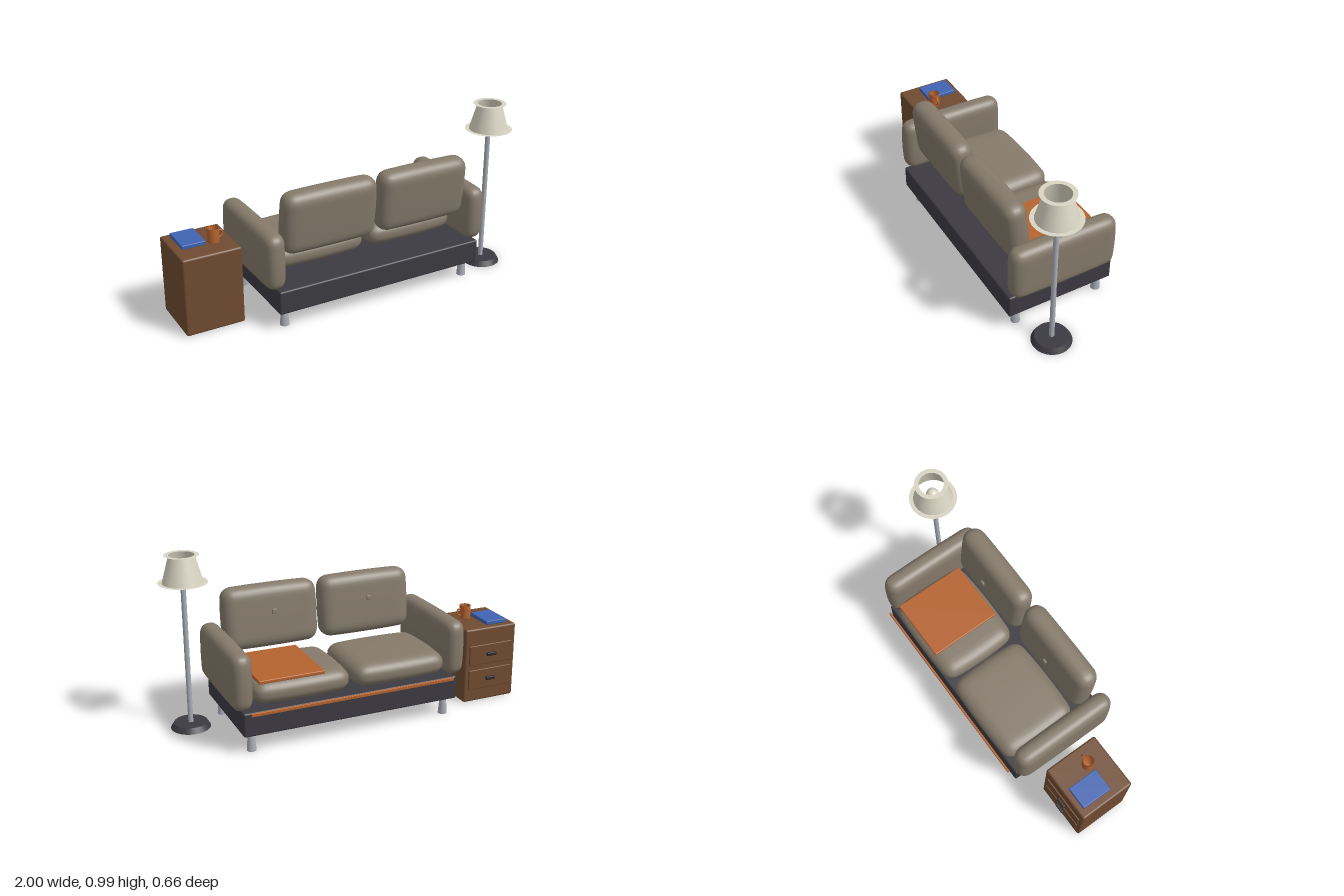
import * as THREE from 'three';
import { mergeVertices } from 'three/addons/utils/BufferGeometryUtils.js';
import { RoundedBoxGeometry } from 'three/addons/geometries/RoundedBoxGeometry.js';

const material = (name, color, side = THREE.FrontSide) => {
  const m = new THREE.MeshStandardMaterial({ color, side });
  m.name = name;
  return m;
};

// Soft padded block: rounded edges, then each face swells towards its middle
function cushionGeometry(w, h, d, radius, crown) {
  let g = new THREE.BoxGeometry(2, 2, 2, 20, 20, 20);
  g.deleteAttribute('uv');
  g.deleteAttribute('normal');
  g = mergeVertices(g);
  const half = new THREE.Vector3(w / 2, h / 2, d / 2);
  const core = half.clone().subScalar(radius);
  const p = new THREE.Vector3(), c = new THREE.Vector3(), pos = g.attributes.position;
  for (let i = 0; i < pos.count; i++) {
    p.fromBufferAttribute(pos, i);
    p.set(...p.toArray().map((t) => Math.sin(t * Math.PI / 2))).multiply(half);
    c.copy(p).clamp(core.clone().negate(), core);
    p.sub(c).setLength(radius).add(c);
    const [u, v, s] = p.clone().divide(half).toArray().map((t) => t * t);
    p.x *= 1 - crown * (v + s) / 2;
    p.y *= 1 - crown * (u + s) / 2;
    p.z *= 1 - crown * (u + v) / 2;
    pos.setXYZ(i, p.x, p.y, p.z);
  }
  g.computeVertexNormals();
  return g;
}

export function createModel() {
  const root = new THREE.Group();
  root.name = 'livingRoomSet';

  const fabric = material('taupe fabric', 0x857a6b);
  const charcoal = material('charcoal', 0x3c3a41);
  const metal = material('brushed metal', 0xa9adb5);
  const wood = material('brown wood', 0x704b31);
  const orange = material('burnt orange', 0xb5632f, THREE.DoubleSide);
  const blue = material('blue cover', 0x4063b2);
  const cream = material('cream shade', 0xd9d5c4, THREE.DoubleSide);
  const dark = material('dark handle', 0x2a2a2e);

  const group = (name) => {
    const g = new THREE.Group();
    g.name = name;
    root.add(g);
    return g;
  };
  const add = (parent, name, geometry, mat, x, y, z) => {
    const m = new THREE.Mesh(geometry, mat);
    m.name = name;
    m.position.set(x, y, z);
    parent.add(m);
    return m;
  };
  // Rounded box given by its limits on each axis
  const block = (parent, name, mat, [x0, x1], [y0, y1], [z0, z1], r) =>
    add(parent, name, new RoundedBoxGeometry(x1 - x0, y1 - y0, z1 - z0, 3, r), mat,
      (x0 + x1) / 2, (y0 + y1) / 2, (z0 + z1) / 2);

  // Sofa, with its seat opening towards -z
  const sofa = group('sofa');
  block(sofa, 'sofaBase', charcoal, [-0.55, 0.71], [0.1, 0.235], [-0.3, 0.33], 0.01);
  for (const x of [-0.495, 0.655])
    for (const z of [-0.247, 0.262])
      add(sofa, 'sofaLeg', new THREE.CylinderGeometry(0.018, 0.026, 0.1, 20), metal, x, 0.05, z);
  for (const x of [-0.55, 0.7])
    add(sofa, 'armrest', cushionGeometry(0.12, 0.32, 0.63, 0.05, 0.06), fabric, x, 0.392, 0.013);
  for (const x of [-0.208, 0.368]) {
    add(sofa, 'seatCushion', cushionGeometry(0.565, 0.14, 0.48, 0.06, 0.1), fabric, x, 0.318, -0.07);
    const back = add(sofa, 'backCushion', cushionGeometry(0.56, 0.36, 0.14, 0.06, 0.05), fabric, x, 0.57, 0.228);
    back.rotation.x = 0.1;
    const button = add(sofa, 'cushionButton', new RoundedBoxGeometry(0.028, 0.028, 0.014, 2, 0.005), fabric, x, 0.614, 0.138);
    button.rotation.x = 0.1;
  }
  block(sofa, 'foldedThrow', orange, [0.245, 0.615], [0.377, 0.397], [-0.283, 0.14], 0.005);
  block(sofa, 'trimStrip', orange, [-0.515, 0.675], [0.225, 0.243], [-0.331, -0.319], 0.002);

  // Side table with two drawers on the -z side
  const table = group('sideTable');
  block(table, 'tableBody', wood, [-1, -0.668], [0.003, 0.45], [-0.19, 0.14], 0.012);
  for (const y of [0.14, 0.29]) {
    block(table, 'drawerFront', wood, [-0.975, -0.695], [y - 0.06, y + 0.06], [-0.198, -0.185], 0.004);
    block(table, 'drawerHandle', dark, [-0.865, -0.805], [y - 0.01, y + 0.01], [-0.212, -0.196], 0.004);
  }
  block(table, 'book', blue, [-0.955, -0.823], [0.45, 0.473], [-0.155, 0.025], 0.004);

  // Mug standing on the table
  const mug = group('mug');
  const profile = [[0, 0], [0.029, 0], [0.032, 0.004], [0.032, 0.08], [0.028, 0.08], [0.027, 0.01], [0, 0.01]];
  add(mug, 'mugBody', new THREE.LatheGeometry(profile.map(([x, y]) => new THREE.Vector2(x, y)), 32),
    orange, -0.775, 0.45, 0.01);
  const handle = add(mug, 'mugHandle', new THREE.TorusGeometry(0.02, 0.005, 10, 24, Math.PI * 1.2),
    orange, -0.742, 0.491, 0.01);
  handle.rotation.z = -Math.PI * 0.6;

  // Floor lamp
  const lamp = group('floorLamp');
  lamp.position.set(0.866, 0, 0.165);
  add(lamp, 'lampFoot', new THREE.CylinderGeometry(0.092, 0.11, 0.03, 40), charcoal, 0, 0.015, 0);
  add(lamp, 'lampPole', new THREE.CylinderGeometry(0.014, 0.014, 0.83, 20), metal, 0, 0.445, 0);
  add(lamp, 'lampBulb', new THREE.SphereGeometry(0.035, 24, 16), cream, 0, 0.875, 0);
  add(lamp, 'lampShade', new THREE.CylinderGeometry(0.068, 0.11, 0.15, 48, 1, true), cream, 0, 0.91, 0);
  // Flat brims around the open ends of the shade
  for (const [inner, outer, y] of [[0.068, 0.093, 0.985], [0.11, 0.133, 0.835]])
    add(lamp, 'shadeBrim', new THREE.RingGeometry(inner, outer, 48), cream, 0, y, 0).rotation.x = -Math.PI / 2;

  return root;
}
